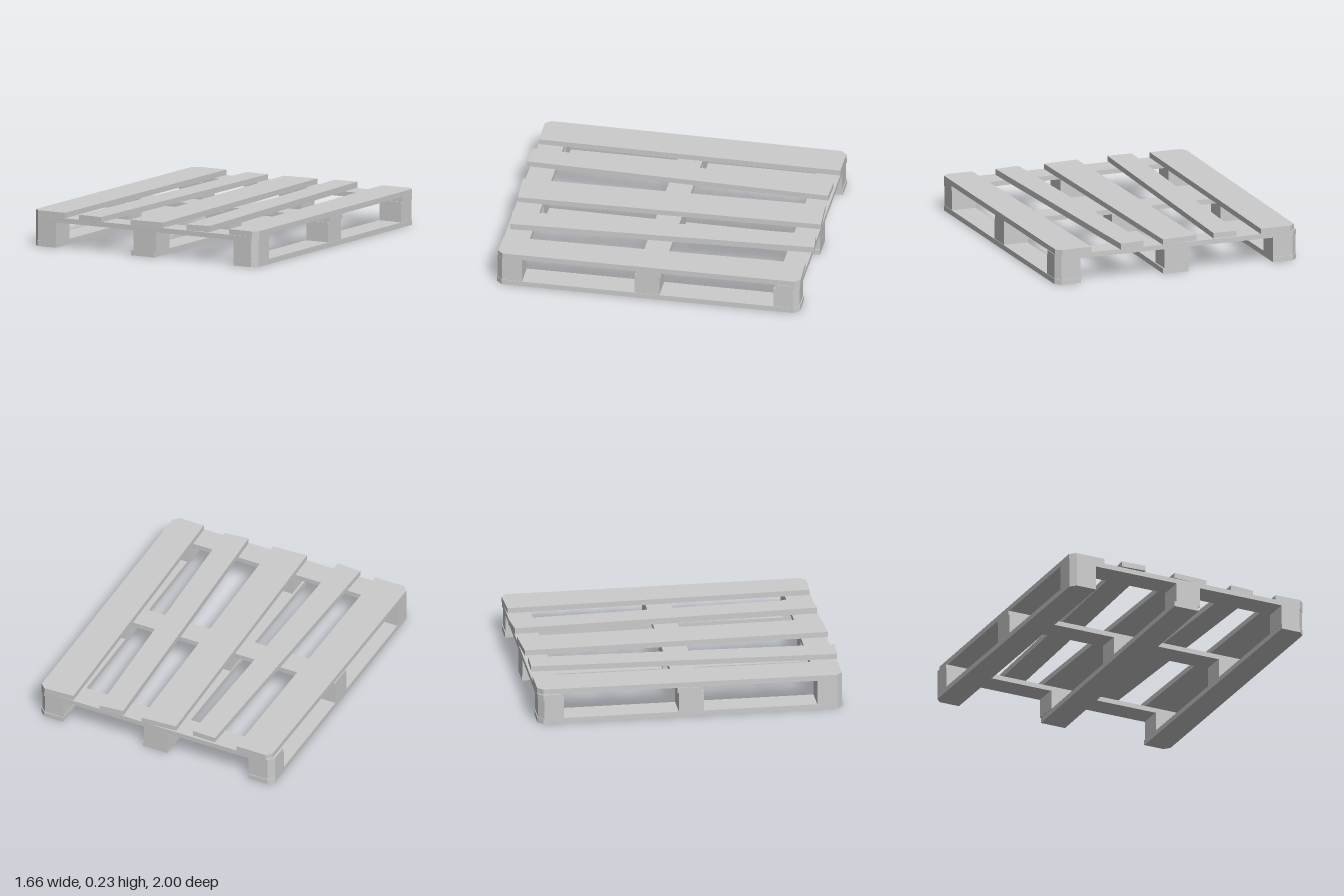
import * as THREE from 'three';

// Plank or block: a plan outline of [x, z] corners raised from y0 to y1
function prism(name, outline, y0, y1, material) {
  const shape = new THREE.Shape(outline.map(([x, z]) => new THREE.Vector2(x, -z)));
  const geometry = new THREE.ExtrudeGeometry(shape, { depth: y1 - y0, bevelEnabled: false });
  geometry.rotateX(-Math.PI / 2);
  geometry.translate(0, y0, 0);
  const mesh = new THREE.Mesh(geometry, material);
  mesh.name = name;
  return mesh;
}

// Cut the given corners (by index) of an outline
function chamfer(outline, corners, cut = 0.035) {
  const n = outline.length;
  const toward = ([ax, az], [bx, bz]) => {
    const t = cut / Math.hypot(bx - ax, bz - az);
    return [ax + (bx - ax) * t, az + (bz - az) * t];
  };
  return outline.flatMap((p, i) => corners.includes(i)
    ? [toward(p, outline[(i + n - 1) % n]), toward(p, outline[(i + 1) % n])]
    : [p]);
}

// Corner order: back -x, back +x, front +x, front -x
const rect = (x0, x1, z0, z1) => [[x0, z0], [x1, z0], [x1, z1], [x0, z1]];

export function createModel() {
  const pallet = new THREE.Group();
  pallet.name = 'pallet';
  const wood = new THREE.MeshStandardMaterial({ color: 0xcccccc });
  wood.name = 'pale grey wood';

  // Deck boards, laid slightly askew
  const deck = [
    chamfer([[-0.815, -0.985], [-0.575, -0.985], [-0.595, 0.972], [-0.832, 0.972]], [0, 3]),
    [[-0.415, -0.97], [-0.257, -0.967], [-0.315, 0.995], [-0.48, 0.988]],
    [[-0.14, -0.972], [0.098, -0.988], [0.13, 0.97], [-0.103, 0.982]],
    [[0.23, -0.983], [0.39, -1], [0.468, 0.955], [0.305, 0.97]],
    chamfer([[0.585, -0.98], [0.822, -0.99], [0.828, 0.972], [0.622, 0.968]], [1, 2]),
  ];
  deck.forEach((outline, i) =>
    pallet.add(prism(`deckBoard${i + 1}`, outline, 0.195, i === 3 ? 0.234 : 0.23, wood)));

  // Stringer boards running across under the deck
  const rows = [
    { name: 'back', board: [-0.985, -0.83], block: [-0.98, -0.82], cut: [0, 1] },
    { name: 'middle', board: [-0.09, 0.07], block: [-0.08, 0.08], cut: [] },
    { name: 'front', board: [0.81, 0.975], block: [0.81, 0.975], cut: [2, 3] },
  ];
  for (const { name, board, cut } of rows) {
    pallet.add(prism(`${name}CrossBoard`, chamfer(rect(-0.83, 0.826, ...board), cut), 0.163, 0.195, wood));
  }

  // Bottom runners, with three spacer blocks on each
  const columns = [
    { name: 'right', x: [-0.83, -0.66], cut: [0, 3],
      runner: [[-0.83, -0.985], [-0.66, -0.985], [-0.66, 0.977], [-0.83, 0.977]] },
    { name: 'centre', x: [-0.085, 0.082], cut: [],
      runner: [[-0.08, -0.98], [0.092, -0.98], [0.07, 0.977], [-0.1, 0.977]] },
    { name: 'left', x: [0.66, 0.823], cut: [1, 2],
      runner: [[0.657, -0.985], [0.826, -0.985], [0.826, 0.977], [0.662, 0.977]] },
  ];
  for (const { name, x, cut, runner } of columns) {
    pallet.add(prism(`${name}Runner`, chamfer(runner, cut), 0, 0.034, wood));
    for (const row of rows) {
      const corners = cut.filter((c) => row.cut.includes(c));
      pallet.add(prism(`${row.name}${name}Block`, chamfer(rect(...x, ...row.block), corners), 0.034, 0.163, wood));
    }
  }
  return pallet;
}
